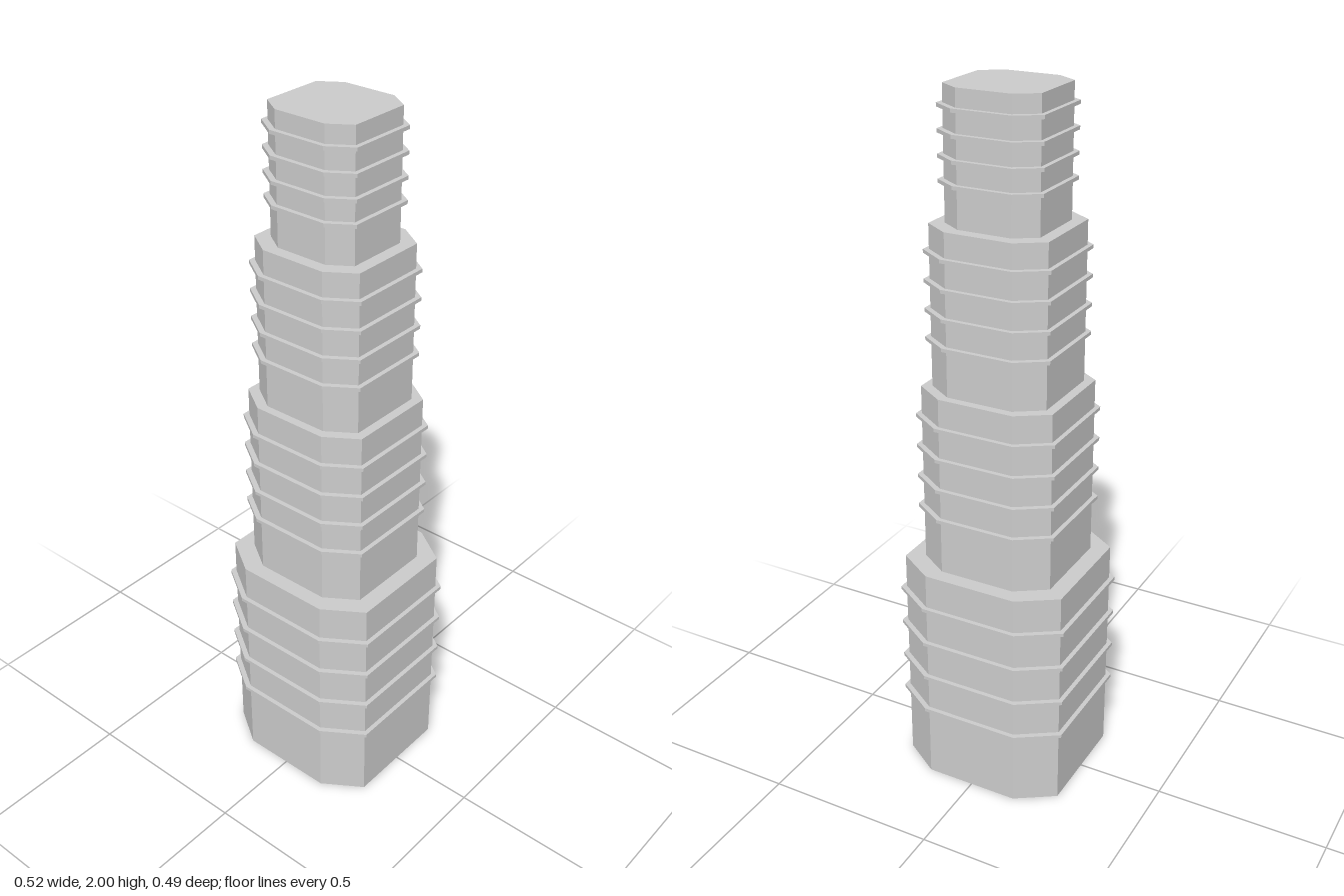
import * as THREE from 'three';

const material = new THREE.MeshStandardMaterial({ color: 0xcccccc, flatShading: true });

// Corners of a rectangle with chamfered corners (half sizes hx, hz)
function octagon(hx, hz) {
  const cx = hx * 0.56, cz = hz * 0.69;
  return [
    [hx, -cz], [hx, cz], [cx, hz], [-cx, hz],
    [-hx, cz], [-hx, -cz], [-cx, -hz], [cx, -hz],
  ].map(([x, y]) => new THREE.Vector2(x, y));
}

// Upright prism from y0 to y1, optionally hollow
function prism(name, outer, inner, y0, y1) {
  const shape = new THREE.Shape(outer);
  if (inner) shape.holes.push(new THREE.Path(inner));
  const geometry = new THREE.ExtrudeGeometry(shape, { depth: y1 - y0, bevelEnabled: false });
  geometry.rotateX(-Math.PI / 2).translate(0, y0, 0);
  const mesh = new THREE.Mesh(geometry, material);
  mesh.name = name;
  return mesh;
}

export function createModel() {
  const model = new THREE.Group();
  model.name = 'steppedTower';

  // Tiers from the ground up: half sizes, bottom, top, first band height, band spacing
  const tiers = [
    { hx: 0.247, hz: 0.231, y0: 0, y1: 0.673, band: 0.225, step: 0.114 },
    { hx: 0.198, hz: 0.187, y0: 0.673, y1: 1.198, band: 0.837, step: 0.092 },
    { hx: 0.172, hz: 0.163, y0: 1.198, y1: 1.648, band: 1.335, step: 0.08 },
    { hx: 0.137, hz: 0.129, y0: 1.648, y1: 2, band: 1.757, step: 0.0633 },
  ];
  const lip = 0.013, halfBand = 0.005;

  tiers.forEach(({ hx, hz, y0, y1, band, step }, i) => {
    const tier = new THREE.Group();
    tier.name = `tier${i + 1}`;
    const wall = octagon(hx, hz);
    tier.add(prism('tierBody', wall, null, y0, y1));

    // Thin projecting bands around the tier
    for (let k = 0; k < 4; k++) {
      const y = band + k * step;
      tier.add(prism('band', octagon(hx + lip, hz + lip), wall, y - halfBand, y + halfBand));
    }
    model.add(tier);
  });
  return model;
}
